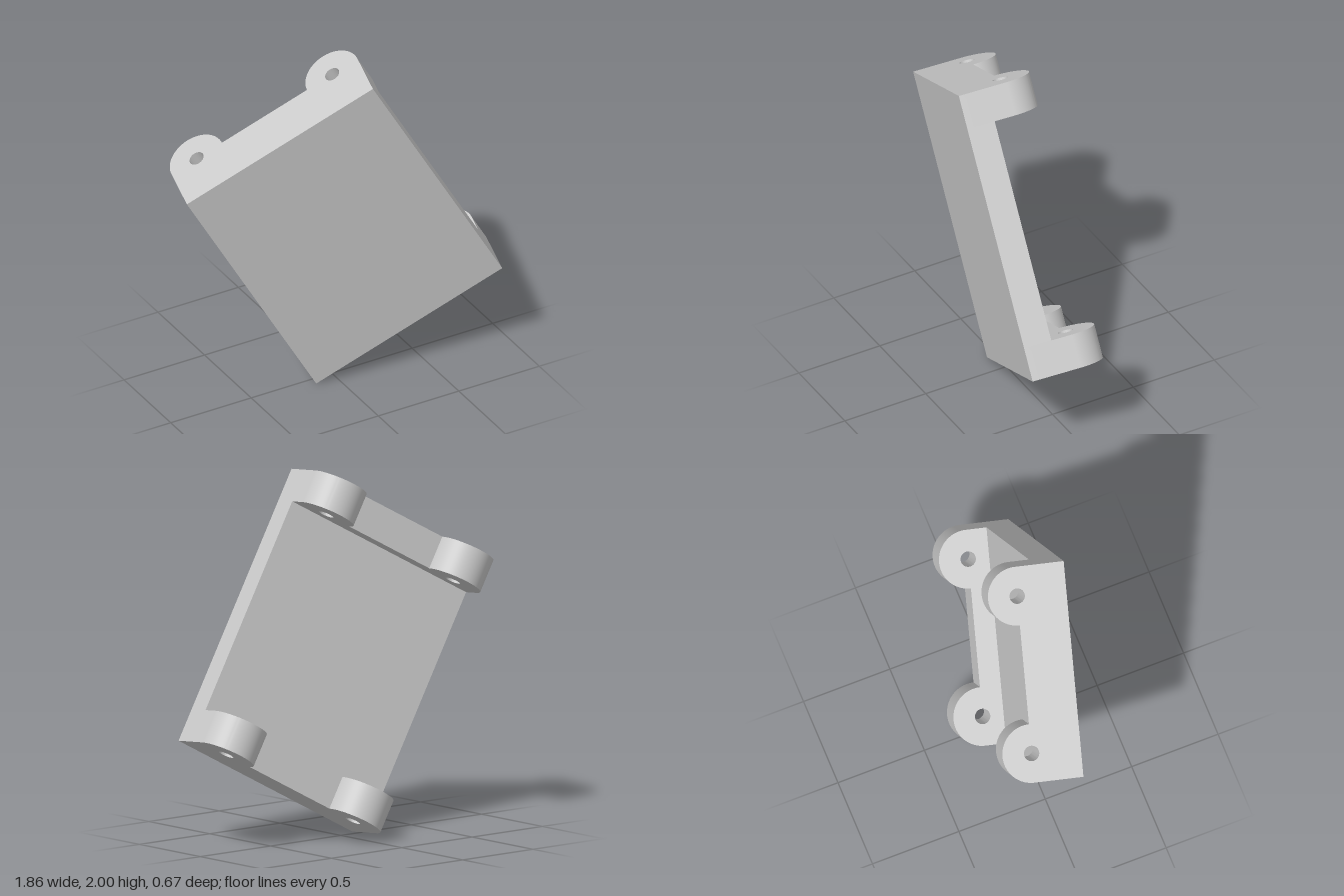
import * as THREE from 'three';
import { toCreasedNormals } from 'three/addons/utils/BufferGeometryUtils.js';

const WIDTH = 1.18;       // across the bracket
const LENGTH = 1.607;     // along the bracket
const PLATE = 0.155;      // plate thickness
const WALL = 0.187;       // thickness of each end wall and its lugs
const HEIGHT = 0.27;      // wall height, also the height of the hole centres
const LUG_R = 0.16;
const HOLE_R = 0.042;

const material = new THREE.MeshStandardMaterial({ color: 0xcccccc });

// End wall profile: a bar with a rounded, drilled lug at each corner
function endWallGeometry() {
  const left = LUG_R, right = WIDTH - LUG_R;
  const shape = new THREE.Shape();
  shape.moveTo(0, 0);
  shape.lineTo(WIDTH, 0);
  shape.lineTo(WIDTH, HEIGHT);
  shape.absarc(right, HEIGHT, LUG_R, 0, Math.PI, false);
  shape.lineTo(left + LUG_R, HEIGHT);
  shape.absarc(left, HEIGHT, LUG_R, 0, Math.PI, false);
  shape.lineTo(0, 0);
  for (const x of [left, right]) {
    const hole = new THREE.Path();
    hole.absarc(x, HEIGHT, HOLE_R, 0, Math.PI * 2, true);
    shape.holes.push(hole);
  }
  const geometry = new THREE.ExtrudeGeometry(shape, { depth: WALL, bevelEnabled: false, curveSegments: 24 });
  return toCreasedNormals(geometry, 0.5);
}

export function createModel() {
  const model = new THREE.Group();
  model.name = 'mountingBracket';

  const bracket = new THREE.Group();
  bracket.name = 'bracket';
  model.add(bracket);

  // Flat plate between the two end walls
  const span = LENGTH - 2 * WALL;
  const plate = new THREE.Mesh(new THREE.BoxGeometry(WIDTH, PLATE, span), material);
  plate.name = 'plate';
  plate.position.set(WIDTH / 2, PLATE / 2, LENGTH / 2);
  bracket.add(plate);

  // Identical end walls with lugs
  const wallGeometry = endWallGeometry();
  [['lowerEndWall', 0], ['upperEndWall', LENGTH - WALL]].forEach(([name, z]) => {
    const wall = new THREE.Mesh(wallGeometry, material);
    wall.name = name;
    wall.position.z = z;
    bracket.add(wall);
  });

  // Tilted pose: rolled 30 degrees, then swung about the long axis
  const roll = Math.PI / 6, swing = THREE.MathUtils.degToRad(13.8);
  const along = new THREE.Vector3(-Math.sin(roll), Math.cos(roll), 0);
  const across = new THREE.Vector3(
    Math.cos(roll) * Math.cos(swing), Math.sin(roll) * Math.cos(swing), Math.sin(swing));
  const outward = new THREE.Vector3().crossVectors(along, across);
  bracket.quaternion.setFromRotationMatrix(new THREE.Matrix4().makeBasis(across, outward, along));
  bracket.position.set(-0.125, 0, 0.05);

  return model;
}
